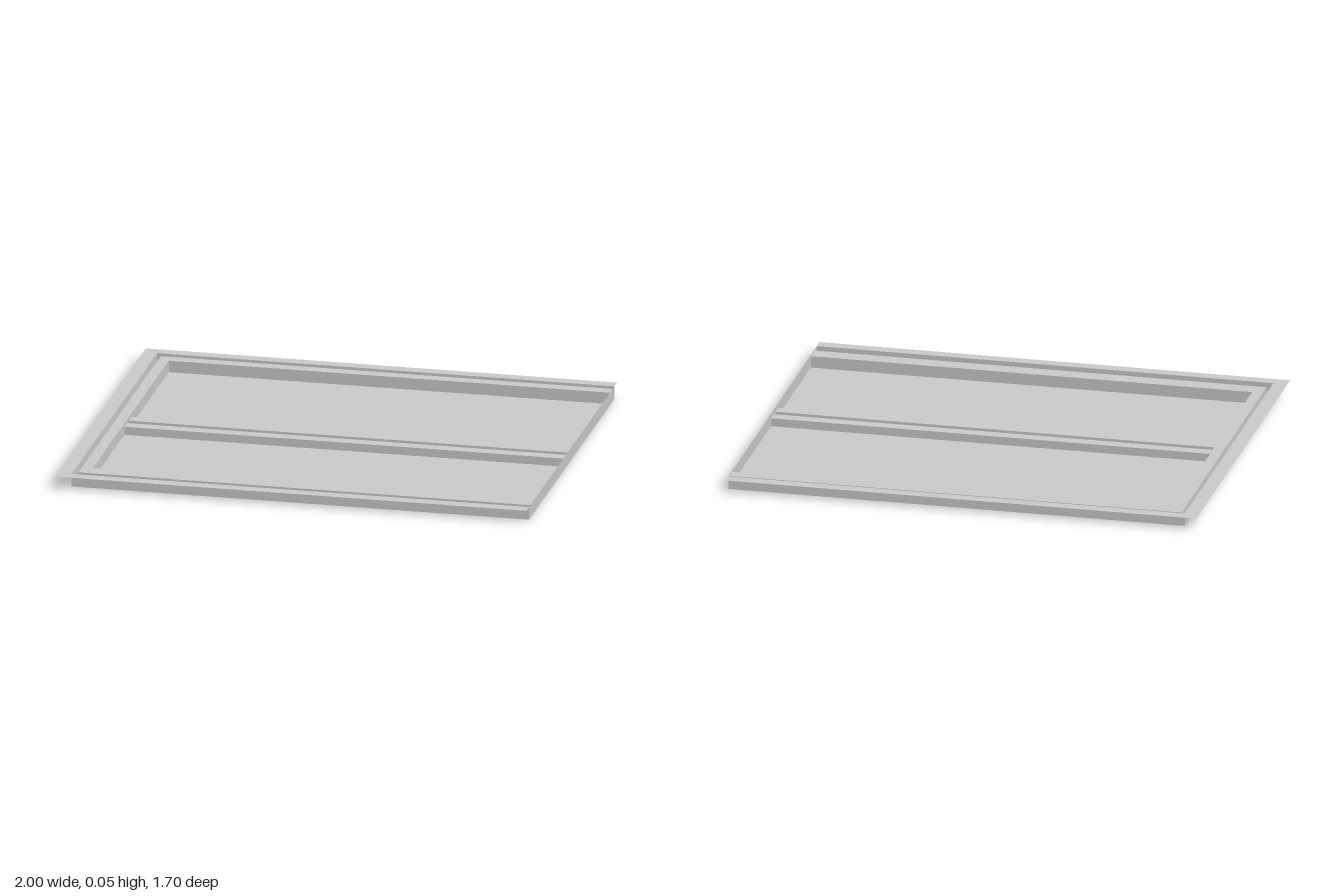
import * as THREE from 'three';

const TOP = 0.055, LEDGE = 0.05, BAR = 0.035, END = 1, INNER = -0.875;

const material = new THREE.MeshStandardMaterial({
  color: 0xcccccc, flatShading: true, side: THREE.DoubleSide,
});

// Thin folded sheet: joins each path of points to the next with flat quads
function sheet(name, paths) {
  const pos = [];
  for (let i = 0; i + 1 < paths.length; i++) {
    const a = paths[i], b = paths[i + 1];
    for (let j = 0; j + 1 < a.length; j++) {
      pos.push(...a[j], ...a[j + 1], ...b[j + 1], ...a[j], ...b[j + 1], ...b[j]);
    }
  }
  const geometry = new THREE.BufferGeometry();
  geometry.setAttribute('position', new THREE.Float32BufferAttribute(pos, 3));
  geometry.computeVertexNormals();
  const mesh = new THREE.Mesh(geometry, material);
  mesh.name = name;
  return mesh;
}

// U-shaped path, open towards the straight end wall
const uPath = ([x, back, front, y]) =>
  [[END, y, back], [x, y, back], [x, y, front], [END, y, front]];

// Straight path along x
const xPath = ([z, y]) => [[END, y, z], [INNER, y, z]];

export function createModel() {
  const group = new THREE.Group();

  // Outer flange, narrow groove and raised ledge around three sides
  const outer = [-0.94, -0.8, 0.8], groove = [-0.92, -0.78, 0.76], inner = [INNER, -0.73, 0.69];
  group.add(sheet('flange', [[-1, -0.85, 0.85, TOP], [...outer, TOP]].map(uPath)));
  group.add(sheet('rimGroove',
    [[...outer, TOP], [...outer, 0], [...groove, 0], [...groove, LEDGE]].map(uPath)));
  group.add(sheet('rimLedge',
    [[...groove, LEDGE], [...inner, LEDGE], [...inner, 0]].map(uPath)));

  // Two recessed floor panels
  group.add(sheet('backPanel', [[-0.73, 0], [-0.03, 0]].map(xPath)));
  group.add(sheet('frontPanel', [[0.1, 0], [0.69, 0]].map(xPath)));

  // Divider: two ribs with a groove between them
  group.add(sheet('divider', [
    [-0.03, 0], [-0.03, BAR], [0.02, BAR], [0.02, 0],
    [0.05, 0], [0.05, BAR], [0.1, BAR], [0.1, 0],
  ].map(xPath)));

  // Straight wall closing the flangeless end
  group.add(sheet('endWall', [
    [[END, 0, -0.8], [END, TOP, -0.8]],
    [[END, 0, 0.8], [END, TOP, 0.8]],
  ]));

  return group;
}
